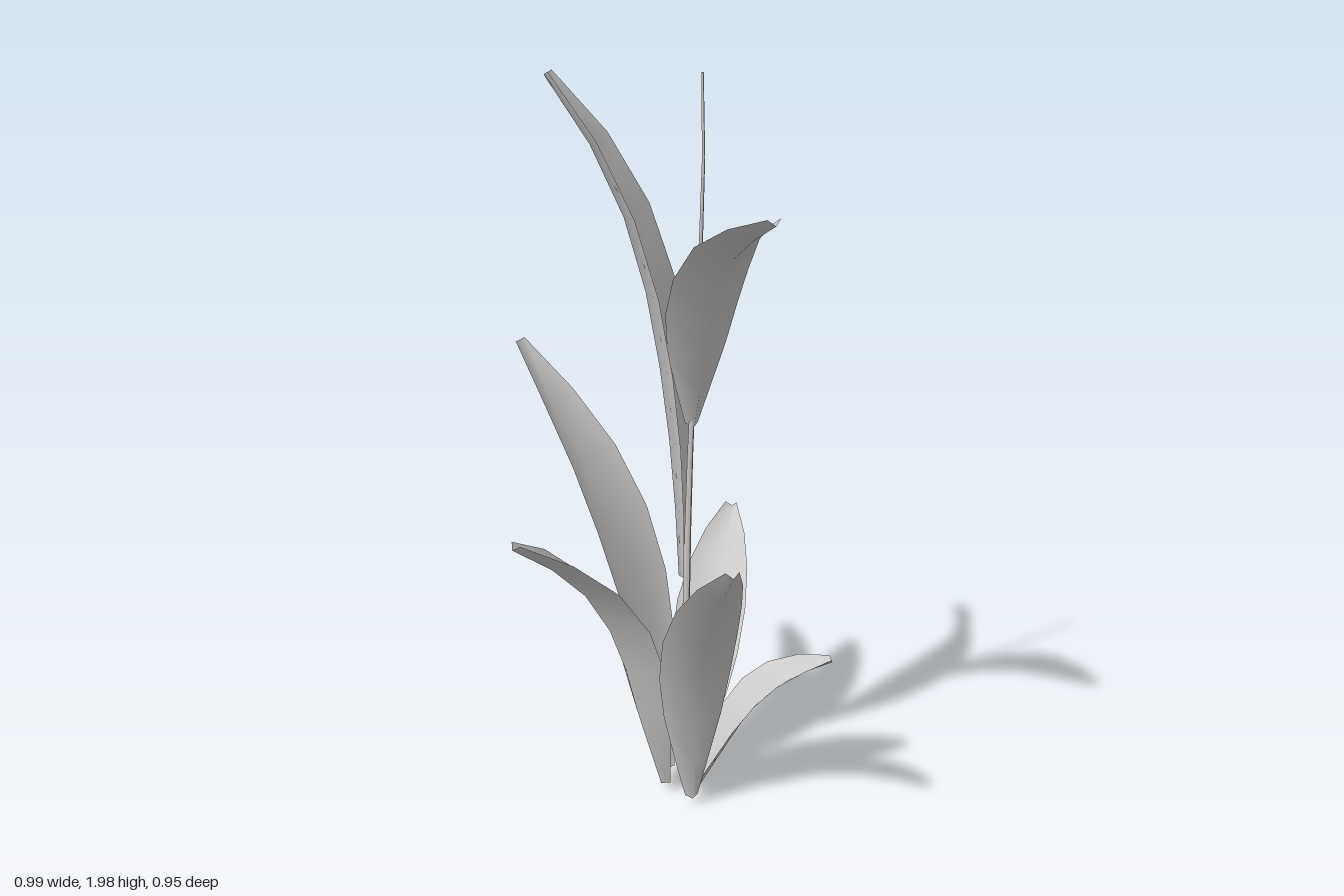
import * as THREE from 'three';

const material = new THREE.MeshStandardMaterial({ color: 0xcccccc, side: THREE.DoubleSide });
const toCurve = (pts) => new THREE.CatmullRomCurve3(pts.map((p) => new THREE.Vector3(...p)));

// Half-width of a leaf from its base to its blunt tip, as a share of the widest
const PROFILE = [0.18, 0.5, 0.8, 0.97, 1, 0.86, 0.58, 0.17];

// Leaf folded along its midrib: each cross-section is left edge, midrib, right edge
function leaf(name, width, midrib) {
  const curve = toCurve(midrib);
  const rows = PROFILE.length;
  const heading = curve.getPoint(1).sub(curve.getPoint(0)).setY(0).normalize();
  const side = new THREE.Vector3(-heading.z, 0, heading.x);
  const positions = [], index = [];
  PROFILE.forEach((share, i) => {
    const u = i / (rows - 1);
    const mid = curve.getPointAt(u);
    const inward = new THREE.Vector3().crossVectors(side, curve.getTangentAt(u)).normalize();
    const half = share * width / 2;
    const fold = 0.01 + 0.4 * half;
    for (const s of [-1, 0, 1]) {
      const p = mid.clone().addScaledVector(side, s * half);
      if (s) p.addScaledVector(inward, fold);
      positions.push(p.x, p.y, p.z);
    }
    if (i < rows - 1) {
      for (let j = 0; j < 2; j++) {
        const a = i * 3 + j, b = a + 1, c = a + 3, d = a + 4;
        index.push(a, b, d, a, d, c);
      }
    }
  });
  const geometry = new THREE.BufferGeometry();
  geometry.setAttribute('position', new THREE.Float32BufferAttribute(positions, 3));
  geometry.setIndex(index);
  geometry.computeVertexNormals();
  const mesh = new THREE.Mesh(geometry, material);
  mesh.name = name;
  return mesh;
}

// Thin tapering stalk: a cylinder bent along a curve
function stalk(name, bottomRadius, topRadius, path) {
  const curve = toCurve(path);
  const geometry = new THREE.CylinderGeometry(topRadius, bottomRadius, 1, 6, 10);
  const pos = geometry.attributes.position;
  for (let i = 0; i < pos.count; i++) {
    const c = curve.getPointAt(THREE.MathUtils.clamp(pos.getY(i) + 0.5, 0, 1));
    pos.setXYZ(i, c.x + pos.getX(i), c.y, c.z + pos.getZ(i));
  }
  geometry.computeVertexNormals();
  const mesh = new THREE.Mesh(geometry, material);
  mesh.name = name;
  return mesh;
}

export function createModel() {
  const plant = new THREE.Group();
  plant.name = 'plant';

  plant.add(stalk('stem', 0.013, 0.003, [
    [0.05, 0.01, 0.065], [0.055, 0.6, 0.06], [0.058, 1.1, 0.07],
    [0.05, 1.5, 0.1], [0.04, 1.75, 0.12], [0.033, 1.99, 0.12],
  ]));

  // Leaves growing from the ground
  plant.add(
    leaf('rightLeaf', 0.22, [
      [-0.03, 0.03, 0.05], [-0.12, 0.3, 0.05], [-0.19, 0.54, 0.04], [-0.31, 0.74, 0.02], [-0.49, 0.89, 0]]),
    leaf('frontRightLeaf', 0.2, [
      [-0.02, 0.03, 0.165], [-0.05, 0.3, 0.205], [-0.08, 0.5, 0.25], [-0.13, 0.7, 0.34], [-0.21, 0.885, 0.475]]),
    leaf('frontLeftLeaf', 0.17, [
      [0.05, 0.015, 0.12], [0.11, 0.17, 0.18], [0.16, 0.27, 0.22], [0.23, 0.35, 0.275], [0.335, 0.395, 0.35]]),
    leaf('leftLeaf', 0.2, [
      [0.09, 0.03, 0.04], [0.16, 0.22, 0.02], [0.24, 0.4, -0.02], [0.34, 0.53, -0.08], [0.495, 0.65, -0.185]]),
    leaf('backLeaf', 0.23, [
      [0.03, 0.03, 0.005], [0.025, 0.36, -0.07], [0.01, 0.66, -0.16], [-0.02, 0.93, -0.285], [-0.07, 1.22, -0.48]]),
  );

  // Leaves growing from the stem
  plant.add(
    leaf('upperFrontLeaf', 0.21, [
      [0.06, 1.09, 0.08], [0.045, 1.28, 0.125], [0.025, 1.43, 0.175], [0, 1.58, 0.265], [-0.045, 1.69, 0.43]]),
    leaf('upperBackLeaf', 0.23, [
      [0.035, 0.66, 0.05], [0.03, 0.95, 0.03], [0.01, 1.25, 0], [-0.02, 1.5, -0.04], [-0.07, 1.74, -0.11], [-0.16, 1.97, -0.225]]),
  );
  return plant;
}
